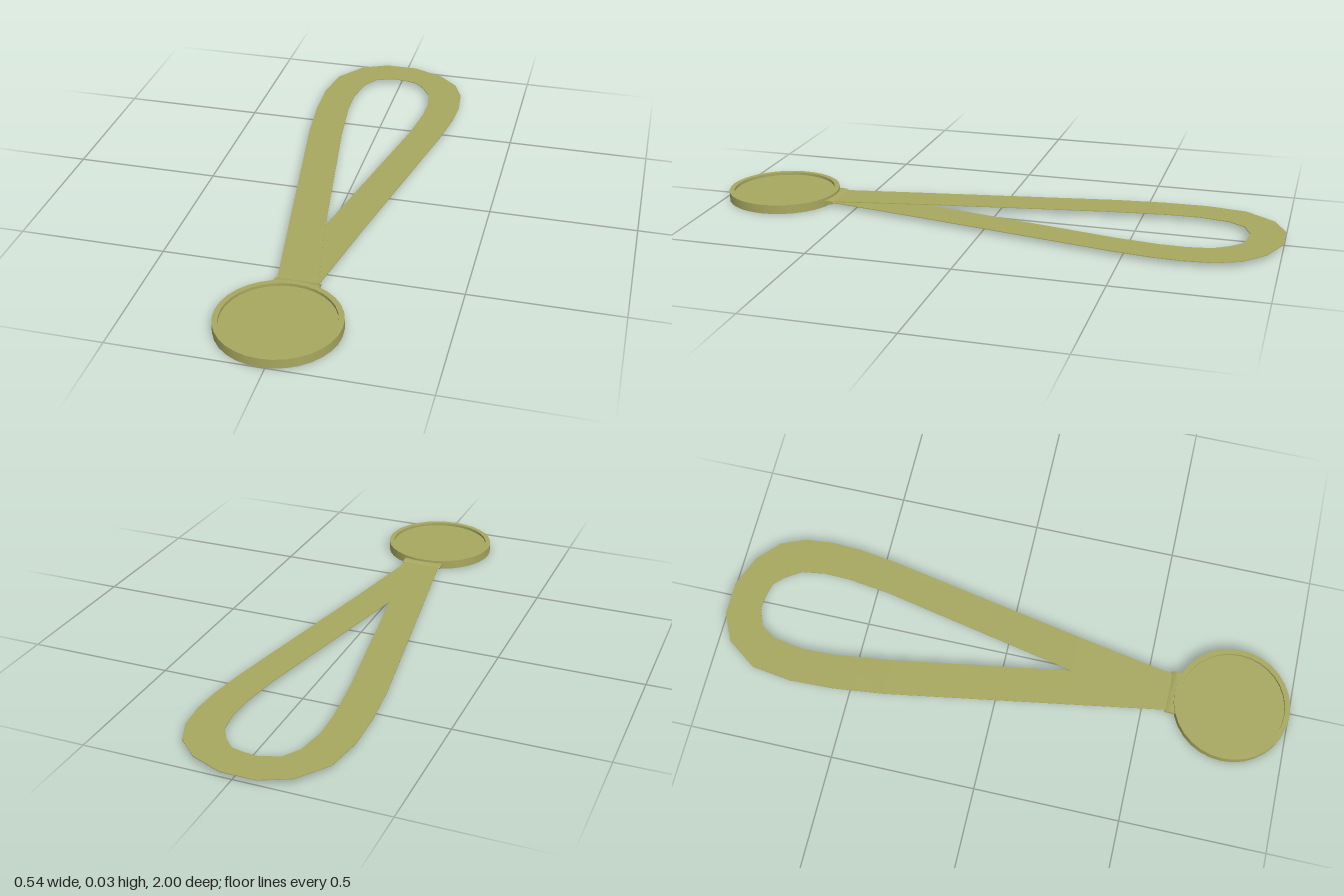
import * as THREE from 'three';
import { toCreasedNormals } from 'three/addons/utils/BufferGeometryUtils.js';

const CX = -0.018; // the disc and strap ends sit slightly off centre

// Closed band of rectangular cross-sections: rows of [outerX, outerZ, innerX, innerZ]
function bandGeometry(rows, heightAt, thick) {
  const pos = [], idx = [];
  rows.forEach(([ox, oz, ix, iz], i) => {
    const y = heightAt(i / (rows.length - 1)), t = thick / 2;
    pos.push(ox, y + t, oz, ix, y + t, iz, ix, y - t, iz, ox, y - t, oz);
  });
  const n = rows.length;
  for (let i = 0; i < n - 1; i++) {
    for (let k = 0; k < 4; k++) {
      const a = i * 4 + k, b = i * 4 + (k + 1) % 4;
      idx.push(a, a + 4, b, b, a + 4, b + 4);
    }
  }
  const e = (n - 1) * 4;
  idx.push(0, 1, 2, 0, 2, 3, e, e + 2, e + 1, e, e + 3, e + 2);
  const g = new THREE.BufferGeometry();
  g.setAttribute('position', new THREE.Float32BufferAttribute(pos, 3));
  g.setIndex(idx);
  return toCreasedNormals(g, 0.6);
}

export function createModel() {
  const group = new THREE.Group();
  const material = new THREE.MeshStandardMaterial({ color: 0xa8a860, side: THREE.DoubleSide });
  const add = (name, geometry) => {
    const mesh = new THREE.Mesh(geometry, material);
    mesh.name = name;
    group.add(mesh);
    return mesh;
  };

  // Round disc with a raised rim around a sunken face
  const profile = [[0, 0], [0.2, 0], [0.2, 0.032], [0.182, 0.032], [0.182, 0.022], [0, 0.022]]
    .map(([r, y]) => new THREE.Vector2(r, y));
  add('disc', toCreasedNormals(new THREE.LatheGeometry(profile, 32), 0.6)).position.set(CX, 0, 0.8);

  // Flattened bar joining the strap to the disc
  const bar = new THREE.CylinderGeometry(1, 1, 0.15, 8).rotateZ(Math.PI / 2).scale(1, 0.007, 0.025);
  add('strapBar', toCreasedNormals(bar, 0.6)).position.set(CX, 0.017, 0.602);

  // Looped strap, from the lower end on the +x side round to the upper end on the -x side
  const rows = [
    [0.045, 0.6, -0.088, 0.6],
    [0.11, 0.24, CX, 0.24],
    [0.245, -0.46, 0.125, -0.46],
    [0.265, -0.6, 0.145, -0.61],
    [0.27, -0.7, 0.147, -0.7],
    [0.26, -0.8, 0.135, -0.78],
    [0.225, -0.885, 0.1, -0.835],
    [0.15, -0.955, 0.065, -0.87],
    [0.04, -1, 0.02, -0.88],
    [-0.08, -1, -0.03, -0.885],
    [-0.175, -0.955, -0.095, -0.86],
    [-0.25, -0.85, -0.13, -0.805],
    [-0.27, -0.71, -0.148, -0.7],
    [-0.265, -0.56, -0.145, -0.59],
    [-0.245, -0.38, -0.12, -0.385],
    [-0.143, 0.24, CX, 0.24],
    [-0.083, 0.6, 0.05, 0.6],
  ];
  add('strap', bandGeometry(rows, (t) => 0.015 + 0.004 * t, 0.0025));

  return group;
}
